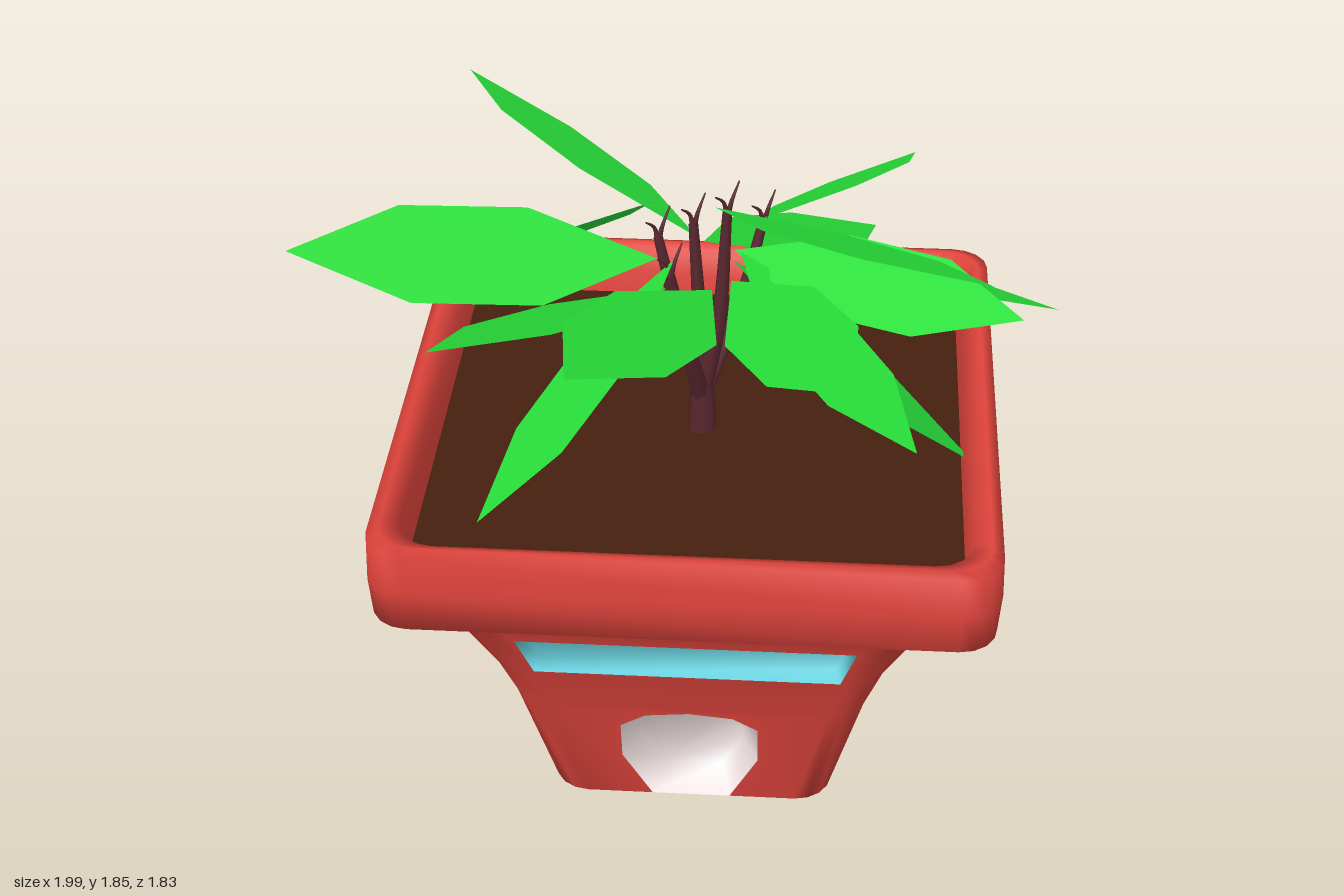
import * as THREE from 'three';
import { mergeGeometries, mergeVertices } from 'three/addons/utils/BufferGeometryUtils.js';

const V = (a) => new THREE.Vector3(...a);
const material = (color) => new THREE.MeshStandardMaterial({ color, side: THREE.DoubleSide });
const POT = material(0xe0443c), SOIL = material(0x45200f), BARK = material(0x5a2830);
const LEAF = material(0x28e03a), PANEL = material(0x6cd8e6), PALE = material(0xfff0f0);

function add(group, name, geometry, mat) {
  const mesh = new THREE.Mesh(geometry, mat);
  mesh.name = name;
  group.add(mesh);
}

// Pot wall rows from the foot, over the rim, to the inside: y, half width, half depth
const CORNER = 0.1, STEPS = 4, BODY_ROWS = 3;
const ROWS = [
  [0, 0.395, 0.415], [0.4, 0.485, 0.515], [0.57, 0.53, 0.585], [0.85, 0.655, 0.695],
  [0.885, 0.8, 0.805], [1.0, 0.807, 0.812], [1.115, 0.803, 0.808],
  [1.125, 0.775, 0.78], [1.1, 0.73, 0.735], [0.97, 0.715, 0.72],
];

// Rounded rectangle; the closing segment (last to first point) is the front side
function ring([y, hx, hz]) {
  const pts = [];
  [[1, 1], [1, -1], [-1, -1], [-1, 1]].forEach(([sx, sz], q) => {
    for (let i = 0; i <= STEPS; i++) {
      const a = Math.PI / 2 - (q + i / STEPS) * Math.PI / 2;
      pts.push([sx * (hx - CORNER) + CORNER * Math.cos(a), y, sz * (hz - CORNER) + CORNER * Math.sin(a)]);
    }
  });
  return pts;
}

function frontZ(y) {
  let k = 0;
  while (k < BODY_ROWS - 1 && y > ROWS[k + 1][0]) k++;
  const [y0, , z0] = ROWS[k], [y1, , z1] = ROWS[k + 1];
  return z0 + (z1 - z0) * (y - y0) / (y1 - y0);
}

const ARCH = [[-0.11, 0], [-0.19, 0.18], [-0.19, 0.32], [-0.12, 0.37], [0, 0.385],
  [0.12, 0.37], [0.19, 0.32], [0.19, 0.18], [0.11, 0]];
const SLOT = [[-0.41, 0.58], [-0.45, 0.73], [0.45, 0.73], [0.41, 0.58]];
const toShape = (pts) => new THREE.Shape(pts.map((p) => new THREE.Vector2(...p)));

// Front wall strip between two rows, with the arch notched out or the slot cut out
function frontStrip(k) {
  const [y0, w0] = ROWS[k], [y1, w1] = ROWS[k + 1];
  const a = w0 - CORNER, b = w1 - CORNER;
  const s = toShape([[-a, y0], ...(k === 0 ? ARCH : []), [a, y0], [b, y1], [-b, y1]]);
  if (k === 2) s.holes.push(toShape(SLOT));
  const g = new THREE.ShapeGeometry(s);
  const p = g.attributes.position;
  for (let i = 0; i < p.count; i++) p.setZ(i, frontZ(p.getY(i)));
  return g;
}

// Horizontal sheet filling one row of the pot
function sheet(row, facing) {
  const s = toShape(ring(row).map(([x, , z]) => [x, -z * facing]));
  return new THREE.ShapeGeometry(s).rotateX(-facing * Math.PI / 2).translate(0, row[0], 0);
}

// Lofted wall with the front strips and the floor welded in, shaded smoothly
function potBody() {
  const rings = ROWS.map(ring), n = rings[0].length;
  const index = [];
  for (let r = 0; r < rings.length - 1; r++) {
    for (let i = 0; i < n; i++) {
      if (r < BODY_ROWS && i === n - 1) continue;
      const a = r * n + i, b = r * n + (i + 1) % n;
      index.push(a, b, a + n, b, b + n, a + n);
    }
  }
  const g = new THREE.BufferGeometry();
  g.setAttribute('position', new THREE.Float32BufferAttribute(rings.flat(2), 3));
  g.setIndex(index);
  const parts = [g, ...[0, 1, 2].map(frontStrip), sheet(ROWS[0], -1)].map((part) => {
    part.deleteAttribute('normal');
    part.deleteAttribute('uv');
    return part;
  });
  const body = mergeVertices(mergeGeometries(parts), 1e-4);
  body.computeVertexNormals();
  return body;
}

// Hollow behind an opening: tapering side walls and a back, softly shaded
function recess(outline, depth, shrink, baseY) {
  const n = outline.length, pos = [], index = [];
  for (const [x, y] of outline) pos.push(x, y, frontZ(y));
  for (const [x, y] of outline) pos.push(x * shrink, baseY + (y - baseY) * shrink, frontZ(y) - depth);
  for (let i = 0; i < n; i++) {
    const j = (i + 1) % n;
    index.push(i, i + n, j, j, i + n, j + n);
    if (i > 0 && i < n - 1) index.push(n, n + i + 1, n + i);
  }
  const g = new THREE.BufferGeometry();
  g.setAttribute('position', new THREE.Float32BufferAttribute(pos, 3));
  g.setIndex(index);
  g.computeVertexNormals();
  return g;
}

// Tapering branch through a few points
function branch(points, r0, r1) {
  const curve = new THREE.CatmullRomCurve3(points.map(V));
  const steps = 10, sides = 7;
  const g = new THREE.TubeGeometry(curve, steps, r0, sides);
  const p = g.attributes.position, v = new THREE.Vector3();
  for (let i = 0; i < p.count; i++) {
    const t = Math.floor(i / (sides + 1)) / steps;
    const c = curve.getPointAt(t);
    v.fromBufferAttribute(p, i).sub(c).multiplyScalar(1 + (r1 / r0 - 1) * t).add(c);
    p.setXYZ(i, v.x, v.y, v.z);
  }
  return g;
}

// Flat pointed blade from base to tip, spread along the side direction
function blade(base, tip, side, halfWidth = 0.145) {
  const b = V(base), axis = V(tip).sub(b), along = axis.clone().normalize();
  const s = V(side);
  s.addScaledVector(along, -s.dot(along)).normalize();
  const normal = s.clone().cross(along);
  if (normal.y < 0) { s.negate(); normal.negate(); }
  const g = new THREE.ShapeGeometry(toShape([[0, 0], [0.92, 0.34], [0.9, 0.69], [0, 1], [-0.9, 0.69], [-0.92, 0.34]]));
  return g.applyMatrix4(new THREE.Matrix4().makeBasis(s.multiplyScalar(halfWidth), axis, normal).setPosition(b));
}

// base, tip, side direction, half width where it differs
const LEAVES = [
  [[-0.1, 1.56, 0], [-1, 1.74, 0.33], [-0.07, 0.085, -0.12], 0.16],
  [[-0.07, 1.52, 0.08], [-0.56, 1.81, 0.88], [0.105, 0.05, 0.11]],
  [[0.05, 1.53, 0.1], [-0.24, 1.77, 0.91], [0.12, -0.035, 0.05], 0.16],
  [[0.1, 1.56, 0.1], [0.42, 1.75, 0.9], [0.09, 0.045, -0.09]],
  [[0.05, 1.69, -0.05], [0.74, 1.85, 0.57], [-0.12, 0.06, 0.1], 0.16],
  [[0.1, 1.57, -0.04], [0.84, 1.6, 0.31], [0.04, 0.05, -0.12]],
  [[0.18, 1.58, -0.14], [0.99, 1.25, -0.32], [0.05, 0.04, 0.14], 0.155],
  [[0.15, 1.6, -0.14], [0.59, 1.41, -0.92], [0.72, 0.4, 0.31], 0.15],
  [[0.01, 1.5, -0.2], [0.485, 1.16, -0.92], [0.13, -0.02, 0.07]],
  [[0, 1.57, -0.1], [-0.71, 1.66, -0.87], [0.61, -0.48, -0.6], 0.155],
  [[-0.13, 1.6, -0.23], [-0.6, 1.22, -0.55], [0.06, -0.02, -0.07], 0.13],
  [[-0.05, 1.6, 0.07], [-0.52, 1.1, 0.57], [0.55, 0.27, 0.82]],
  [[0.12, 1.6, 0.02], [0.59, 1.285, 0.455], [-0.68, 0.13, 0.77]],
  [[0.1, 1.6, 0.06], [0.76, 0.99, 0.06], [0.12, 0.1, 1], 0.155],
];

// End points of the main stems
const STEMS = [
  [-0.1, 1.6, -0.04], [-0.06, 1.56, 0.08], [-0.01, 1.62, -0.08],
  [0.08, 1.67, -0.06], [0.17, 1.57, -0.2],
];

export function createModel() {
  const model = new THREE.Group();

  const pot = new THREE.Group();
  pot.name = 'pot';
  pot.position.set(0.012, 0, -0.06);
  add(pot, 'potBody', potBody(), POT);
  add(pot, 'soil', sheet([0.98, 0.725, 0.73], 1), SOIL);
  add(pot, 'frontSlot', recess(SLOT, 0.06, 0.97, 0.655), PANEL);
  add(pot, 'frontArch', recess(ARCH, 0.12, 0.75, 0.08), PALE);
  model.add(pot);

  const plant = new THREE.Group();
  plant.name = 'plant';
  add(plant, 'trunk', branch([[0.015, 0.95, -0.08], [0.015, 1.05, -0.08], [0.01, 1.18, -0.08]], 0.042, 0.03), BARK);
  STEMS.forEach(([x, y, z], i) => {
    const mid = [0.012 + x * 0.58, 1.33, -0.08 + (z + 0.08) * 0.65];
    add(plant, 'stem' + (i + 1), branch([[0.012, 1.08, -0.08], mid, [x, y, z]], 0.027, 0.013), BARK);
    // two fine twigs at each stem end
    for (const d of [-1, 1]) {
      const end = [x + d * 0.03, y + 0.07 + 0.015 * d, z - d * 0.02];
      add(plant, 'twig', branch([[x, y - 0.02, z], [x + d * 0.01, y + 0.03, z], end], 0.009, 0.002), BARK);
    }
  });
  LEAVES.forEach((leaf, i) => add(plant, 'leaf' + (i + 1), blade(...leaf), LEAF));
  model.add(plant);

  return model;
}
